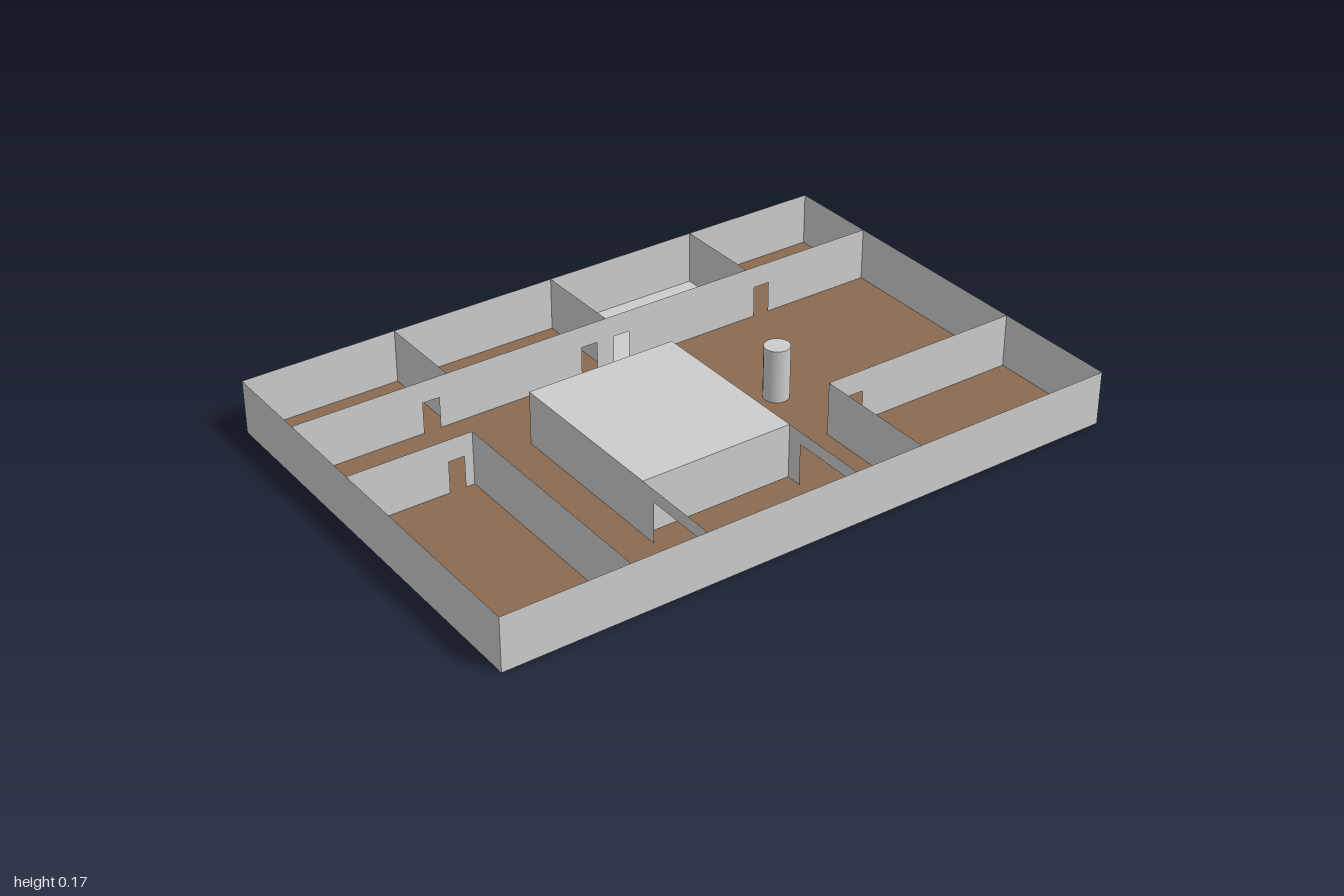
import * as THREE from 'three';

const H = 0.17; // wall height
const X = 1, Z = 0.68; // half extents of the plan

export function createModel() {
  const group = new THREE.Group();
  const grey = new THREE.MeshStandardMaterial({ color: 0xcccccc, side: THREE.DoubleSide });
  grey.name = 'wallGrey';
  const brown = new THREE.MeshStandardMaterial({ color: 0x8a6b50, side: THREE.DoubleSide });
  brown.name = 'floorBrown';

  const add = (name, geometry, material, x = 0, y = 0, z = 0) => {
    const mesh = new THREE.Mesh(geometry, material);
    mesh.name = name;
    mesh.position.set(x, y, z);
    group.add(mesh);
    return mesh;
  };

  // Thin upright wall between two plan points; doors are [start, end, height] along it
  const wall = (name, x0, z0, x1, z1, doors = []) => {
    const length = Math.hypot(x1 - x0, z1 - z0);
    const s = new THREE.Shape();
    s.moveTo(0, 0);
    for (const [a, b, h] of doors) {
      s.lineTo(a, 0);
      s.lineTo(a, h);
      s.lineTo(b, h);
      s.lineTo(b, 0);
    }
    s.lineTo(length, 0);
    s.lineTo(length, H);
    s.lineTo(0, H);
    const mesh = add(name, new THREE.ShapeGeometry(s), grey, x0, 0, z0);
    mesh.rotation.y = Math.atan2(z0 - z1, x1 - x0);
  };

  const rect = (path, x0, z0, x1, z1) => {
    path.moveTo(x0, -z0);
    path.lineTo(x1, -z0);
    path.lineTo(x1, -z1);
    path.lineTo(x0, -z1);
    path.closePath();
    return path;
  };

  // Key plan positions
  const hallZ = -0.385;
  const core = { x0: -0.375, x1: 0.112, z0: -0.165, z1: 0.39 };
  const shaft = { x0: 0.03, x1: 0.545 };
  const column = { x: 0.345, z: 0.03, r: 0.04 };

  // Floor with openings for the core, column and back middle room
  const floor = new THREE.Shape();
  floor.moveTo(-X, -Z);
  floor.lineTo(X, -Z);
  floor.lineTo(X, Z);
  floor.lineTo(shaft.x1, Z);
  floor.lineTo(shaft.x1, -hallZ);
  floor.lineTo(shaft.x0, -hallZ);
  floor.lineTo(shaft.x0, Z);
  floor.lineTo(-X, Z);
  floor.holes.push(rect(new THREE.Path(), core.x0, core.z0, core.x1, core.z1));
  floor.holes.push(new THREE.Path().absarc(column.x, -column.z, column.r, 0, Math.PI * 2, true));
  add('floor', new THREE.ShapeGeometry(floor, 8), brown).rotation.x = -Math.PI / 2;

  // Grey floor of the back middle room
  const greyFloor = rect(new THREE.Shape(), shaft.x0, -Z, shaft.x1, hallZ);
  add('backRoomFloor', new THREE.ShapeGeometry(greyFloor), grey).rotation.x = -Math.PI / 2;

  // Outer walls
  wall('frontWall', -X, Z, X, Z);
  wall('backWall', -X, -Z, X, -Z);
  wall('leftWall', X, -Z, X, Z);
  wall('rightWall', -X, -Z, -X, Z);

  // Long hall wall with a door beside each room divider
  const hallDoors = [-0.565, -0.028, 0.085, 0.603].map((x) => [x + X - 0.027, x + X + 0.027, 0.1]);
  wall('hallWall', -X, hallZ, X, hallZ, hallDoors);
  for (const x of [-0.51, shaft.x0, shaft.x1]) wall('backRoomDivider', x, -Z, x, hallZ);

  // Corner room on the right
  wall('rightRoomBack', -X, -0.08, -0.612, -0.08, [[0.31, 0.36, 0.1]]);
  wall('rightRoomSide', -0.612, -0.08, -0.612, Z);

  // Corner room on the left
  wall('leftRoomBack', 0.336, 0.28, X, 0.28, [[0.045, 0.125, 0.1]]);
  wall('leftRoomSide', 0.336, 0.28, 0.336, Z);

  // Doorway walls across the front passage
  for (const x of [core.x0, core.x1]) wall('passageWall', x, core.z1, x, Z, [[0.05, 0.25, 0.13]]);

  // Solid core block
  add('coreBlock', new THREE.BoxGeometry(core.x1 - core.x0, H, core.z1 - core.z0), grey,
    (core.x0 + core.x1) / 2, H / 2, (core.z0 + core.z1) / 2);

  // Round column, open underneath
  add('column', new THREE.CylinderGeometry(column.r, column.r, H, 16, 1, true), grey, column.x, H / 2, column.z);
  add('columnTop', new THREE.CircleGeometry(column.r, 16), grey, column.x, H, column.z).rotation.x = -Math.PI / 2;

  return group;
}
